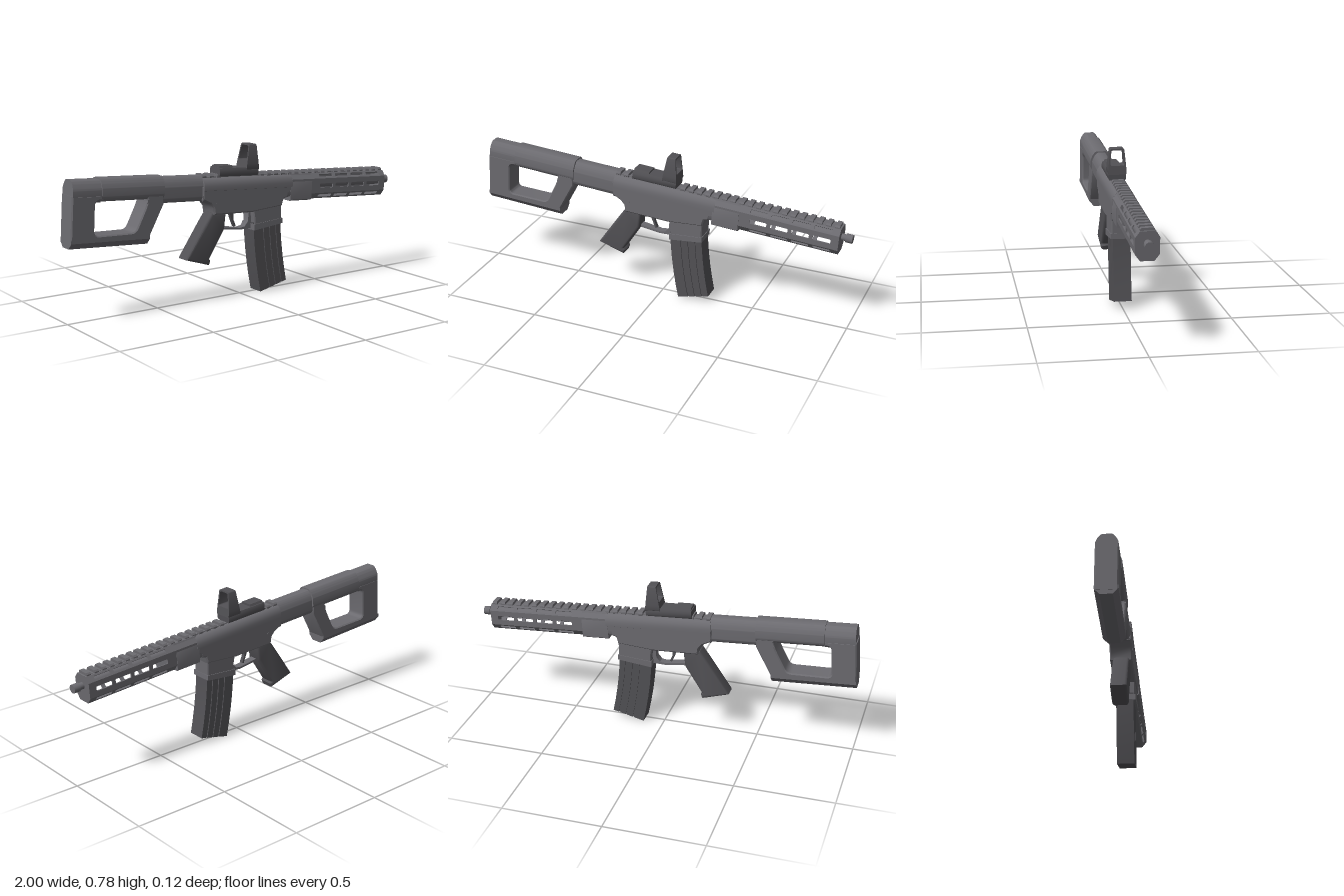
import * as THREE from 'three';
import { toCreasedNormals } from 'three/addons/utils/BufferGeometryUtils.js';

const mat = (name, color) => Object.assign(new THREE.MeshStandardMaterial({ color }), { name });
const V = (p) => new THREE.Vector2(p[0], p[1]);

// Trace a polygon with rounded corners of radius r
function trace(path, pts, r = 0) {
  const n = pts.length;
  pts.forEach((p, i) => {
    const c = V(p), a = V(pts[(i + n - 1) % n]), b = V(pts[(i + 1) % n]);
    const s = c.clone().add(a.sub(c).setLength(r));
    const e = c.clone().add(b.sub(c).setLength(r));
    if (i === 0) path.moveTo(s.x, s.y); else path.lineTo(s.x, s.y);
    if (r > 0) path.quadraticCurveTo(c.x, c.y, e.x, e.y);
  });
  path.closePath();
  return path;
}

// Side outline (x, y) given a width across z
function prism(pts, half, { bevel = 0, r = 0, hole = null, holeR = 0, segs = 1 } = {}) {
  const shape = trace(new THREE.Shape(), pts, r);
  if (hole) shape.holes.push(trace(new THREE.Path(), hole, holeR));
  const g = new THREE.ExtrudeGeometry(shape, {
    depth: 2 * (half - bevel), bevelEnabled: bevel > 0, bevelSize: bevel,
    bevelThickness: bevel, bevelOffset: -bevel, bevelSegments: segs, curveSegments: 5,
  });
  return toCreasedNormals(g.translate(0, 0, bevel - half), 0.6);
}

// Right half of a section (z, y), mirrored and run along x
function sweep(halfPts, x0, x1, { r = 0, hole = null } = {}) {
  const both = (h) => [...h, ...h.map(([z, y]) => [-z, y]).reverse()];
  const shape = trace(new THREE.Shape(), both(halfPts), r);
  if (hole) shape.holes.push(trace(new THREE.Path(), both(hole), r));
  const g = new THREE.ExtrudeGeometry(shape, { depth: x1 - x0, bevelEnabled: false, curveSegments: 5 });
  return toCreasedNormals(g.rotateY(Math.PI / 2).translate(x0, 0, 0), 0.6);
}

export function createModel() {
  const metal = mat('gunmetal', 0x6c6b70);
  const dark = mat('dark polymer', 0x525155);
  const root = new THREE.Group();
  root.name = 'carbine';

  // Everything along the bore sits in a slightly nose-down group
  const bore = new THREE.Group();
  bore.name = 'boreLine';
  bore.rotation.z = -0.065;
  bore.position.set(-0.0364, 0.0012, 0);
  root.add(bore);

  const add = (parent, name, g, m = metal) => {
    const mesh = new THREE.Mesh(g, m);
    mesh.name = name;
    parent.add(mesh);
    return mesh;
  };
  const box = (x0, x1, y0, y1, half) =>
    new THREE.BoxGeometry(x1 - x0, y1 - y0, half * 2).translate((x0 + x1) / 2, (y0 + y1) / 2, 0);
  const rod = (r, x0, x1, y) =>
    new THREE.CylinderGeometry(r, r, x1 - x0, 20).rotateZ(Math.PI / 2).translate((x0 + x1) / 2, y, 0);

  // Stock: tube, cheek sleeve, butt, open frame and chamfered toe
  const domed = (h, y0, y1) => [[h - 0.012, y0], [h, y0 + 0.018], [h, y1 - 0.045], [h - 0.012, y1 - 0.018], [h - 0.028, y1]];
  add(bore, 'stockTube', sweep(domed(0.05, 0.51, 0.637), -0.5, -0.25, { r: 0.008 }));
  add(bore, 'cheekSleeve', sweep(domed(0.058, 0.535, 0.644), -0.83, -0.485, { r: 0.008 }));
  add(bore, 'buttTop', sweep(domed(0.054, 0.53, 0.639), -0.981, -0.83, { r: 0.008 }));
  add(root, 'stockFrame', prism(
    [[-0.983, 0.63], [-0.998, 0.40], [-0.575, 0.378], [-0.487, 0.54], [-0.487, 0.6]], 0.055,
    { bevel: 0.006, hole: [[-0.862, 0.597], [-0.57, 0.586], [-0.585, 0.54], [-0.648, 0.418], [-0.872, 0.428]], holeR: 0.025 }));
  add(bore, 'stockToe', sweep([[0.03, 0.313], [0.055, 0.342], [0.055, 0.36]], -0.984, -0.556));

  // Upper receiver with a raised side rib
  add(bore, 'upperReceiver', sweep(
    [[0.05, 0.51], [0.056, 0.52], [0.056, 0.545], [0.05, 0.55], [0.05, 0.558], [0.059, 0.563],
      [0.059, 0.585], [0.054, 0.605], [0.04, 0.622], [0.03, 0.625]], -0.255, 0.3));

  // Lower receiver and magazine well
  add(root, 'lowerReceiver', prism(
    [[-0.26, 0.6], [-0.26, 0.533], [-0.215, 0.51], [-0.195, 0.485], [-0.19, 0.45], [0.05, 0.438],
      [0.235, 0.45], [0.245, 0.485], [0.27, 0.492], [0.275, 0.512], [0.3, 0.515], [0.3, 0.57]],
    0.057, { bevel: 0.007 }));
  add(root, 'magazineWell', prism(
    [[0.05, 0.46], [0.06, 0.4], [0.06, 0.35], [0.232, 0.365], [0.236, 0.5], [0.06, 0.5]], 0.052, { bevel: 0.005 }));
  add(root, 'magazineWellLip', prism([[0.056, 0.372], [0.056, 0.34], [0.236, 0.358], [0.236, 0.385]], 0.056));
  add(root, 'receiverPin', new THREE.CylinderGeometry(0.009, 0.009, 0.118, 12).rotateX(Math.PI / 2).translate(-0.17, 0.51, 0));

  // Curved magazine: core with raised ribs
  const edge = (t, k) => { // k: 0 rear edge to 1 front edge, t: 0 top to 1 foot
    const rear = [0.058 + 0.012 * t + 0.034 * t * t, 0.38 - 0.375 * t];
    const front = [0.229 + 0.01 * t + 0.032 * t * t, 0.40 - 0.356 * t];
    return [rear[0] + (front[0] - rear[0]) * k, rear[1] + (front[1] - rear[1]) * k];
  };
  const strip = (k0, k1) => {
    const t = [0, 0.2, 0.4, 0.6, 0.8, 1];
    return [...t.map((v) => edge(v, k0)), ...t.map((v) => edge(v, k1)).reverse()];
  };
  add(root, 'magazine', prism(strip(0, 1), 0.039), dark);
  [[0, 0.32], [0.37, 0.55], [0.6, 0.78], [0.83, 1]].forEach(([a, b], i) =>
    add(root, 'magazineRib' + (i + 1), prism(strip(a, b), 0.0445), dark));

  // Pistol grip
  add(root, 'grip', prism(
    [[-0.195, 0.46], [-0.235, 0.405], [-0.352, 0.235], [-0.212, 0.19], [-0.203, 0.212], [-0.21, 0.222],
      [-0.118, 0.365], [-0.108, 0.45]], 0.042, { bevel: 0.014, segs: 3 }), dark);

  // Trigger and guard
  add(root, 'triggerGuard', prism(
    [[-0.125, 0.362], [-0.01, 0.346], [0.062, 0.348], [0.062, 0.45], [0.046, 0.45], [0.04, 0.385],
      [0.02, 0.36], [-0.01, 0.356], [-0.125, 0.374]], 0.02));
  add(root, 'trigger', prism(
    [[-0.07, 0.45], [-0.06, 0.415], [-0.04, 0.365], [-0.03, 0.368], [-0.045, 0.405], [-0.042, 0.45]], 0.01), dark);

  // Handguard: eight slotted panels around the barrel
  const side = [[0.033, 0.491], [0.056, 0.522], [0.056, 0.6], [0.035, 0.628]];
  const ring = [...side, ...side.map(([z, y]) => [-z, y]).reverse()];
  const guard = new THREE.Group();
  guard.name = 'handguard';
  bore.add(guard);
  ring.forEach(([z, y], i) => {
    const [z2, y2] = ring[(i + 1) % 8];
    const w = Math.hypot(z2 - z, y2 - y);
    const shape = trace(new THREE.Shape(), [[0.3, 0], [0.94, 0], [0.94, w], [0.3, w]]);
    if (i !== 3 && i !== 7) {
      const sh = Math.min(0.024, w * 0.5);
      for (let k = 0; k < 4; k++) {
        const a = 0.485 + k * 0.109, b = a + 0.09;
        shape.holes.push(trace(new THREE.Path(),
          [[a, w / 2 - sh / 2], [b, w / 2 - sh / 2], [b, w / 2 + sh / 2], [a, w / 2 + sh / 2]], 0.006));
      }
    }
    const g = new THREE.ExtrudeGeometry(shape, { depth: 0.006, bevelEnabled: false, curveSegments: 3 });
    const X = new THREE.Vector3(1, 0, 0);
    const Y = new THREE.Vector3(0, y2 - y, z2 - z).normalize();
    g.translate(0, 0, -0.006);
    g.applyMatrix4(new THREE.Matrix4().makeBasis(X, Y, X.clone().cross(Y)).setPosition(0, y, z));
    add(guard, 'handguardPanel' + (i + 1), g);
  });
  add(guard, 'handguardFrontCap', sweep(side, 0.932, 0.942));
  add(guard, 'handguardClamp', sweep([[0.05, 0.488], [0.058, 0.494], [0.058, 0.585], [0.036, 0.629]], 0.29, 0.43));

  // Barrel and threaded muzzle
  add(bore, 'barrel', rod(0.027, 0.3, 0.935, 0.574));
  add(bore, 'muzzleNeck', rod(0.017, 0.93, 0.975, 0.574));
  add(bore, 'muzzleCollar', rod(0.022, 0.965, 0.998, 0.574));

  // Top rail with evenly spaced teeth
  add(bore, 'railBase', box(-0.255, 0.942, 0.61, 0.629, 0.024));
  const tooth = sweep([[0.026, 0.618], [0.033, 0.627], [0.033, 0.634], [0.027, 0.642]], 0, 0.024);
  for (let x = -0.253; x < 0.93; x += 0.0447) {
    if (x > -0.15 && x < 0.06) continue;
    add(bore, 'railTooth', tooth).position.x = x;
  }

  // Reflex sight: mount, low housing and tapered hood
  add(bore, 'sightMount', sweep([[0.04, 0.63], [0.045, 0.638], [0.045, 0.66], [0.04, 0.672]], -0.157, 0.082), dark);
  add(bore, 'sightHousing', sweep([[0.036, 0.67], [0.03, 0.683]], -0.153, -0.07), dark);
  const hood = sweep([[0.047, 0.66], [0.045, 0.70], [0.036, 0.79]], -0.5, 0.5,
    { r: 0.009, hole: [[0.037, 0.705], [0.029, 0.782]] });
  const p = hood.attributes.position;
  for (let i = 0; i < p.count; i++) {
    const t = (p.getY(i) - 0.66) / 0.13;
    p.setX(i, 0.045 + p.getX(i) * (0.08 - 0.036 * t));
  }
  add(bore, 'sightHood', toCreasedNormals(hood, 0.6), dark);

  return root;
}
